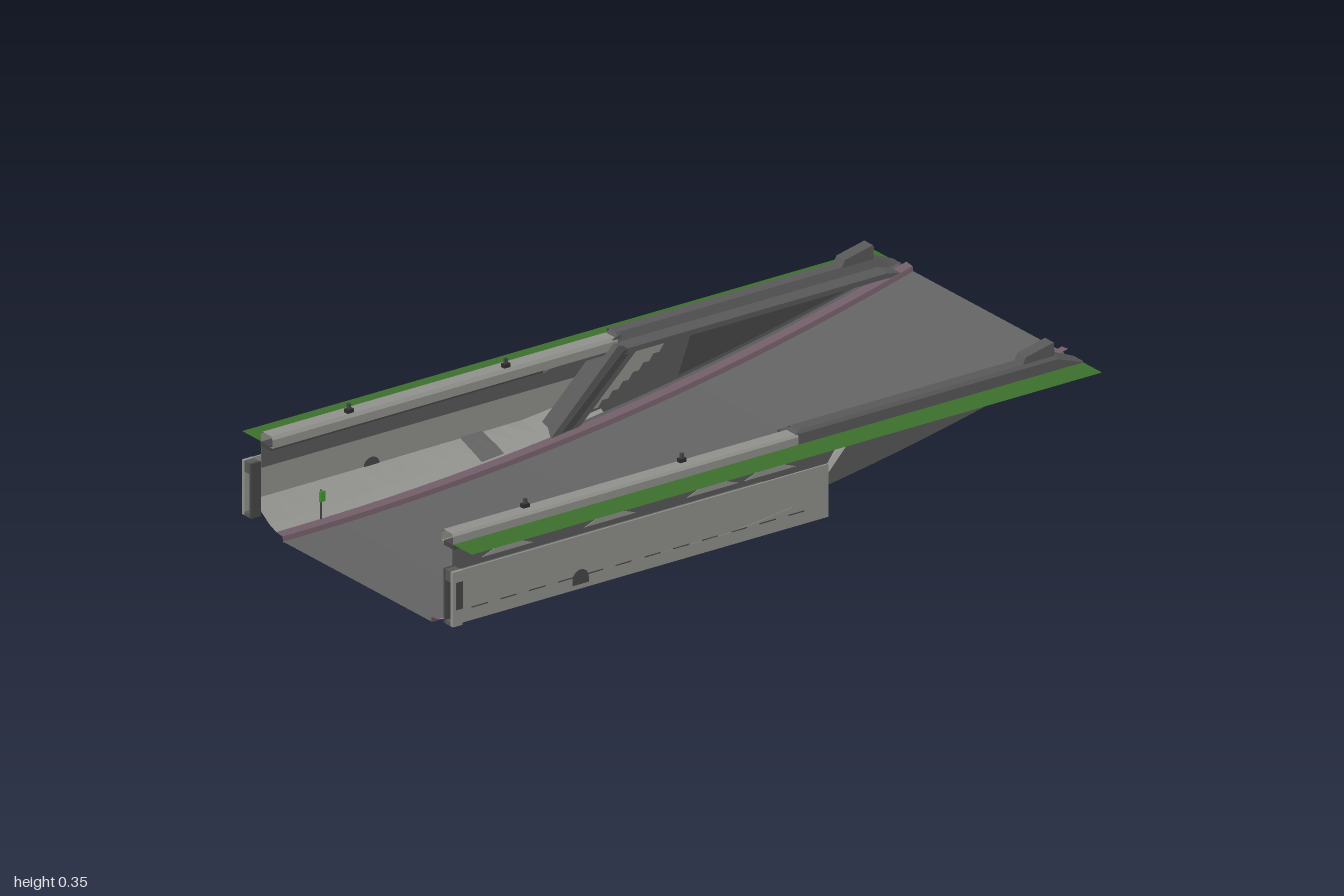
import * as THREE from 'three';

const mat = (name, color) => {
  const m = new THREE.MeshStandardMaterial({ color, side: THREE.DoubleSide, flatShading: true });
  m.name = name;
  return m;
};

// Height of the sagging road at x
const road = (x) => 0.033 + 0.242 * Math.pow(Math.max(0, (x + 0.97) / 1.97), 2.1);

export function createModel() {
  const asphalt = mat('asphalt', 0x626262);
  const concrete = mat('light concrete', 0x90908c);
  const coping = mat('coping grey', 0x585858);
  const dark = mat('dark grey', 0x464646);
  const grass = mat('grass green', 0x3d702c);
  const kerb = mat('mauve kerb', 0x705c66);
  const orange = mat('orange', 0xd8501c);
  const black = mat('near black', 0x2c2c2c);
  const signGreen = mat('sign green', 0x3f9a2c);

  const model = new THREE.Group();
  model.name = 'underpassRamp';

  const add = (parent, name, geometry, material) => {
    const mesh = new THREE.Mesh(geometry, material);
    mesh.name = name;
    parent.add(mesh);
    return mesh;
  };

  // Sweep a [z, y] profile, given as a function of x, along x
  const sweep = (profile, x0, x1, n, s = 1) => {
    const pos = [], idx = [];
    let w = 0;
    for (let i = 0; i <= n; i++) {
      const x = x0 + (x1 - x0) * i / n, p = profile(x);
      w = p.length;
      p.forEach(([z, y]) => pos.push(x, y, z * s));
    }
    for (let i = 0; i < n; i++) for (let j = 0; j < w - 1; j++) {
      const a = i * w + j, b = a + 1, c = a + w, d = c + 1;
      if (s > 0) idx.push(a, b, c, b, d, c);
      else idx.push(a, c, b, b, c, d);
    }
    const g = new THREE.BufferGeometry();
    g.setAttribute('position', new THREE.Float32BufferAttribute(pos, 3));
    g.setIndex(idx);
    g.computeVertexNormals();
    return g;
  };

  // Upright [x, y] plate between depths z0 and z1
  const plate = (pts, z0, z1, s) => {
    const shape = new THREE.Shape(pts.map(([x, y]) => new THREE.Vector2(x, y)));
    const g = new THREE.ExtrudeGeometry(shape, { depth: z1 - z0, bevelEnabled: false });
    return g.translate(0, 0, s > 0 ? z0 : -z1);
  };
  const box = (x0, x1, y0, y1, z0, z1, s) =>
    new THREE.BoxGeometry(x1 - x0, y1 - y0, z1 - z0)
      .translate((x0 + x1) / 2, (y0 + y1) / 2, s * (z0 + z1) / 2);

  // Points on the road edge, for plates that rest on it
  const edge = (x0, x1, lift, n = 16) =>
    Array.from({ length: n + 1 }, (_, i) => {
      const x = x0 + (x1 - x0) * i / n;
      return [x, road(x) + lift];
    });

  add(model, 'roadway', sweep((x) => [[0.315, road(x)], [-0.315, road(x)]], -0.97, 1, 32, -1), asphalt);

  for (const s of [1, -1]) {
    const side = new THREE.Group();
    side.name = s > 0 ? 'frontSide' : 'backSide';
    model.add(side);

    add(side, 'grassVerge', sweep(() => [[0.41, 0.276], [0.49, 0.276]], -0.97, 1, 1, s), grass);
    add(side, 'kerb', sweep((x) => {
      const y = road(x);
      return [[0.315, y - 0.003], [0.318, y + 0.013], [0.345, y + 0.016]];
    }, -0.97, 1, 32, s), kerb);

    // Covered part: sloping barrier, recessed wall and the strip above it
    add(side, 'slopingBarrier', sweep((x) => {
      const y = road(x) + 0.016;
      return [[0.345, y], [0.375, y + 0.012], [0.45, Math.max(0.11, y + 0.02)]];
    }, -0.97, 0.06, 16, s), concrete);
    add(side, 'recessedWall', box(-0.97, 0.175, 0.075, 0.22, 0.443, 0.448, s), concrete);
    add(side, 'upperWall', box(-0.97, 0.18, 0.205, 0.272, 0.405, 0.41, s), coping);
    for (const x of [-0.8, -0.48, -0.16, 0.02])
      add(side, 'lightMound', plate([[x - 0.08, 0.22], [x + 0.08, 0.22], [x + 0.04, 0.235],
        [x + 0.01, 0.256], [x - 0.02, 0.256], [x - 0.04, 0.235]], 0.41, 0.412, s), concrete);
    for (let i = 0; i < 12; i++)
      add(side, 'wallJoint', box(-0.94 + i * 0.09, -0.89 + i * 0.09, 0.109, 0.112, 0.448, 0.449, s), dark);

    // Small arched opening, shown on both faces of the wall
    const arch = [[-0.625, 0.088]];
    for (let i = 0; i <= 8; i++) {
      const a = Math.PI * (1 - i / 8);
      arch.push([-0.6 + 0.025 * Math.cos(a), 0.104 + 0.024 * Math.sin(a)]);
    }
    arch.push([-0.575, 0.088]);
    add(side, 'archedOpening', plate(arch, 0.442, 0.4495, s), dark);
    const px = s > 0 ? -0.65 : -0.29;
    add(side, 'barrierPatch', sweep((x) => {
      const y = road(x) + 0.02;
      return [[0.348, y], [0.375, y + 0.011], [0.445, Math.max(0.11, y + 0.02) + 0.002]];
    }, px - 0.035, px + 0.035, 2, s), asphalt);

    // Frame at the tunnel end of the wall
    add(side, 'endFramePost', box(-1, -0.97, 0.07, 0.22, 0.44, 0.45, s), concrete);
    add(side, 'endFramePost', box(-1, -0.97, 0.07, 0.22, 0.41, 0.418, s), dark);
    add(side, 'endFrameTop', box(-1, -0.97, 0.19, 0.22, 0.418, 0.44, s), coping);
    add(side, 'endFrameFoot', box(-1, -0.97, 0.07, 0.08, 0.418, 0.44, s), coping);
    add(side, 'endHatch', box(-0.99, -0.97, 0.115, 0.19, 0.449, 0.451, s), dark);

    // Light coping over the covered part, with small lamps
    add(side, 'lightCoping', sweep(() => [[0.36, 0.272], [0.36, 0.295], [0.367, 0.304],
      [0.404, 0.304], [0.41, 0.297], [0.41, 0.272], [0.36, 0.272]], -0.97, 0.11, 1, s), concrete);
    add(side, 'copingLip', box(-0.97, 0.11, 0.262, 0.275, 0.37, 0.411, s), dark);
    for (const x of [-0.72, -0.23]) {
      add(side, 'lampPost', box(x - 0.004, x + 0.004, 0.3, 0.328, 0.372, 0.38, s), dark);
      add(side, 'lampHead', box(x - 0.01, x + 0.01, 0.304, 0.314, 0.368, 0.382, s), black);
    }

    // Sloping beam closing the covered part
    add(side, 'slopingBeam', plate([[-0.12, road(-0.12) + 0.01], [-0.03, road(-0.03) + 0.01],
      [0.17, 0.28], [0.095, 0.29]], 0.34, 0.405, s), coping);
    add(side, 'beamFace', plate([[-0.085, road(-0.085) + 0.02], [-0.05, road(-0.05) + 0.02],
      [0.14, 0.275], [0.11, 0.275]], 0.337, 0.34, s), dark);
    add(side, 'outerSlopingFace', sweep((x) => {
      const t = (x - 0.17) / 0.12;
      return [[0.41, 0.14 + 0.127 * t], [0.372, 0.105 + 0.162 * t]];
    }, 0.17, 0.29, 2, s), concrete);

    // Retaining wall panel with an orange stripe and a stepped light band
    add(side, 'retainingWall',
      plate([...edge(-0.04, 0.985, 0.004), [0.985, 0.272], [0.15, 0.272]], 0.366, 0.372, s), coping);
    add(side, 'orangeStripe', plate([[-0.03, 0.093], [-0.012, 0.097], [0.178, 0.265],
      [0.158, 0.265]], 0.362, 0.375, s), orange);
    const band = [[-0.01, 0.1], [0.18, 0.265], [0.27, 0.265]];
    for (let i = 0; i < 8; i++) {
      const x = 0.255 - i * 0.032, y = 0.24 - i * 0.0175;
      band.push([x, y + 0.008], [x - 0.014, y - 0.01]);
    }
    add(side, 'steppedBand', plate(band, 0.363, 0.366, s), concrete);
    add(side, 'wallInset', plate([...edge(0.3, 0.88, 0.022, 10), [0.86, 0.258], [0.34, 0.258]],
      0.363, 0.366, s), dark);
    add(side, 'wallFooting', sweep((x) => {
      const y = road(x);
      return [[0.345, y + 0.016], [0.352, y + 0.02], [0.372, y + 0.006]];
    }, -0.1, 0.98, 20, s), coping);

    // Grey coping of the open ramp, tapering at the top end
    const cope = (x) => {
      const k = x > 0.92 ? Math.max(0.3, 1 - (x - 0.92) / 0.08 * 0.7) : 1;
      const y = (h) => 0.265 + h * k;
      return [[0.32, y(0.008)], [0.32, y(0.022)], [0.36, y(0.026)], [0.368, y(0.049)],
        [0.404, y(0.049)], [0.41, y(0.04)], [0.41, y(0)], [0.34, y(0)], [0.32, y(0.008)]];
    };
    add(side, 'rampCoping', sweep(cope, 0.11, 0.92, 1, s), coping);
    add(side, 'copingNose', sweep(cope, 0.92, 1, 2, s), coping);
    add(side, 'copingStart', plate([[-0.12, 0.264], [0.12, 0.264], [0.12, 0.312], [0.095, 0.3],
      [0.085, 0.276], [-0.1, 0.27]], 0.362, 0.405, s), coping);

    // Wedge-shaped end block
    add(side, 'endBlock', plate([[0.815, 0.312], [0.915, 0.312], [0.912, 0.351], [0.825, 0.332]],
      0.367, 0.404, s), coping);
    add(side, 'endBlockFace', box(0.914, 0.917, 0.318, 0.345, 0.372, 0.399, s), concrete);
  }

  // Exit sign on a thin pole
  add(model, 'signPole', box(-0.832, -0.828, 0, 0.13, 0.343, 0.347, -1), dark);
  add(model, 'signPlate', box(-0.838, -0.822, 0.1, 0.128, 0.336, 0.342, -1), signGreen);

  return model;
}
